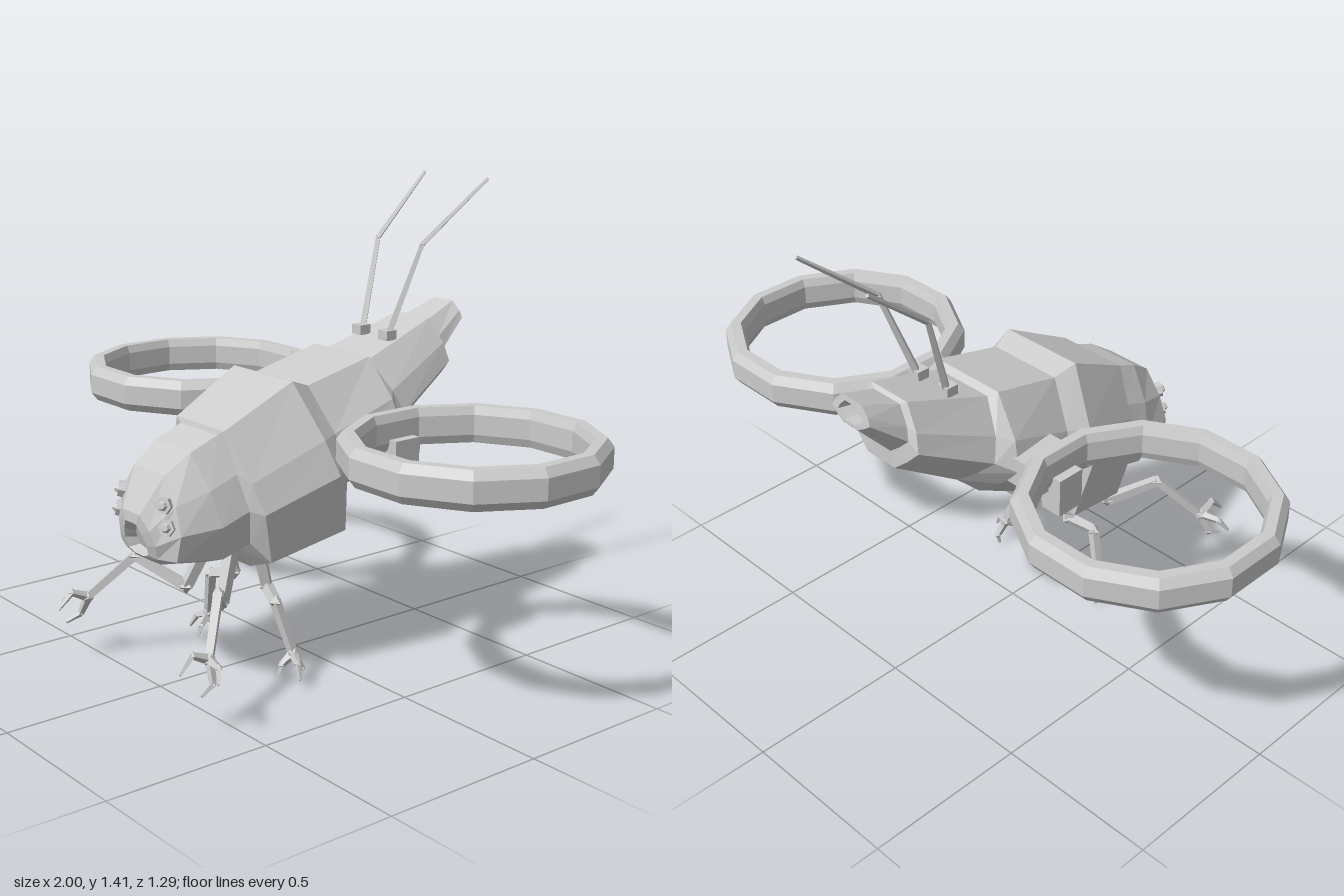
import * as THREE from 'three';

const V = (p) => new THREE.Vector3(...p);
const mat = new THREE.MeshStandardMaterial({ color: 0xcccccc, flatShading: true, side: THREE.DoubleSide });

function add(parent, name, geometry, pos = [0, 0, 0]) {
  const m = new THREE.Mesh(geometry, mat);
  m.name = name;
  m.position.set(...pos);
  parent.add(m);
  return m;
}

// Straight tapered rod between two points
function rod(parent, name, a, b, r1, r2, sides = 4) {
  const p = V(a), d = V(b).sub(p);
  const m = add(parent, name, new THREE.CylinderGeometry(r2, r1, d.length(), sides));
  m.position.copy(p).addScaledVector(d, 0.5);
  m.quaternion.setFromUnitVectors(new THREE.Vector3(0, 1, 0), d.normalize());
  return m;
}

// Chain of rods, tapering from r1 to r2
function chain(parent, name, pts, r1, r2) {
  const n = pts.length - 1;
  for (let i = 0; i < n; i++) {
    const r = (k) => r1 + (r2 - r1) * k / n;
    rod(parent, name, pts[i], pts[i + 1], r(i), r(i + 1));
    if (i) add(parent, name + 'Joint', new THREE.OctahedronGeometry(r(i) * 1.25), pts[i]);
  }
}

// Half outlines from top to bottom: [fraction of height, fraction of half width]
const HEAD = [[0, 0.47], [0.3, 0.82], [0.6, 1], [0.9, 0.88], [1, 0.4]];
const CHEST = [[0, 0.5], [0.33, 0.86], [0.54, 1], [0.9, 0.9], [1, 0.4]];
const REAR = [[0, 0.52], [0.35, 0.88], [0.62, 1], [0.82, 0.72], [1, 0.4]];

// Slanted body rings, front to back: z top, y top, z bottom, y bottom, half width, outline
const RINGS = [
  [0.555, 0.50, 0.53, 0.43, 0.04, HEAD],
  [0.587, 0.52, 0.56, 0.42, 0.055, HEAD],
  [0.585, 0.55, 0.55, 0.41, 0.09, HEAD],
  [0.52, 0.66, 0.53, 0.40, 0.16, HEAD],
  [0.44, 0.715, 0.385, 0.38, 0.19, HEAD],
  [0.35, 0.75, 0.29, 0.405, 0.19, HEAD],
  [0.345, 0.765, 0.24, 0.34, 0.23, CHEST],
  [0.12, 0.88, 0.00, 0.395, 0.277, CHEST],
  [0.05, 0.855, -0.04, 0.48, 0.235, REAR],
  [-0.18, 0.91, -0.23, 0.58, 0.24, REAR],
  [-0.20, 0.895, -0.30, 0.645, 0.195, REAR],
  [-0.47, 0.985, -0.51, 0.78, 0.14, REAR],
  [-0.48, 0.975, -0.51, 0.83, 0.105, REAR],
  [-0.60, 1.02, -0.61, 0.94, 0.078, REAR],
  [-0.602, 1.005, -0.61, 0.95, 0.052, REAR],
  [-0.565, 0.995, -0.57, 0.95, 0.045, REAR],
];

function bodyGeometry() {
  const rings = RINGS.map(([zt, yt, zb, yb, w, outline]) => {
    const side = outline.map(([t, f]) => [w * f, yt + (yb - yt) * t, zt + (zb - zt) * t]);
    return [...side, ...side.map(([x, y, z]) => [-x, y, z]).reverse()];
  });
  const n = rings[0].length, pos = rings.flat(2), idx = [];
  for (let r = 0; r < rings.length - 1; r++) {
    for (let i = 0; i < n; i++) {
      const a = r * n + i, b = r * n + (i + 1) % n;
      idx.push(a, b, a + n, b, b + n, a + n);
    }
  }
  // End caps
  const last = (rings.length - 1) * n;
  for (let i = 1; i < n - 1; i++) {
    idx.push(0, i + 1, i, last, last + i, last + i + 1);
  }
  const g = new THREE.BufferGeometry();
  g.setAttribute('position', new THREE.Float32BufferAttribute(pos, 3));
  g.setIndex(idx);
  g.computeVertexNormals();
  return g;
}

// Twelve-sided hoop with bevelled edges
function hoopGeometry() {
  const k = 1 / Math.cos(Math.PI / 12);
  const profile = [[0.305, -0.03], [0.315, -0.055], [0.345, -0.055], [0.363, -0.03], [0.363, 0.03],
    [0.345, 0.055], [0.315, 0.055], [0.305, 0.03], [0.305, -0.03]];
  const g = new THREE.LatheGeometry(profile.map(([r, y]) => new THREE.Vector2(r * k, y)), 12);
  return g.rotateY(Math.PI / 12);
}

const LEGS = {
  frontLeg: {
    path: [[0.05, 0.41, 0.27], [0.09, 0.25, 0.34], [0.21, 0.335, 0.44], [0.31, 0.2, 0.545]],
    toes: [[[0.31, 0.225, 0.6], [0.315, 0.18, 0.645]], [[0.375, 0.2, 0.56], [0.4, 0.165, 0.58]],
      [[0.34, 0.14, 0.555], [0.35, 0.12, 0.6]]],
  },
  rearLeg: {
    path: [[0.08, 0.38, 0.2], [0.08, 0.26, 0.17], [0.16, 0.24, 0.2], [0.21, 0.09, 0.175]],
    toes: [[[0.25, 0.075, 0.19], [0.275, 0.035, 0.2]], [[0.2, 0.06, 0.21], [0.2, 0.025, 0.225]],
      [[0.22, 0.04, 0.15], [0.22, 0.005, 0.157]]],
  },
};

export function createModel() {
  const model = new THREE.Group();
  model.name = 'insectCraft';
  add(model, 'body', bodyGeometry());

  for (const s of [1, -1]) {
    const side = s > 0 ? 'left' : 'right';
    const M = ([x, y, z]) => [s * x, y, z];
    const half = new THREE.Group();
    half.name = side + 'Side';
    model.add(half);

    // Hoop and its bracket
    add(half, side + 'Hoop', hoopGeometry(), M([0.637, 0.735, -0.112]));
    add(half, side + 'HoopArm', new THREE.BoxGeometry(0.12, 0.09, 0.16), M([0.255, 0.705, -0.135]));
    add(half, side + 'HoopBracket', new THREE.BoxGeometry(0.07, 0.12, 0.09), M([0.325, 0.655, -0.125]));

    // Antenna
    chain(half, side + 'Antenna', [[0.06, 0.95, -0.315], [0.1, 1.22, -0.41], [0.14, 1.405, -0.64]].map(M), 0.013, 0.006);
    add(half, side + 'AntennaBase', new THREE.BoxGeometry(0.04, 0.03, 0.04), M([0.06, 0.95, -0.31]));

    // Legs with three bent toes
    for (const [name, { path, toes }] of Object.entries(LEGS)) {
      const leg = new THREE.Group();
      leg.name = side + name[0].toUpperCase() + name.slice(1);
      half.add(leg);
      chain(leg, 'legSegment', path.map(M), 0.023, 0.015);
      const foot = path[path.length - 1];
      add(leg, 'ankle', new THREE.IcosahedronGeometry(0.02), M(foot));
      for (const toe of toes) chain(leg, 'toe', [foot, ...toe].map(M), 0.015, 0.005);
    }

    // Pairs of six-sided eyes, each with a raised lens
    for (const [x, y, z] of [[0.106, 0.585, 0.545], [0.12, 0.525, 0.545]]) {
      const out = [0.55, 0.2, 0.8];
      const at = (d) => M([x + out[0] * d, y + out[1] * d, z + out[2] * d]);
      rod(half, side + 'EyeRim', at(-0.02), at(0.01), 0.026, 0.024, 6);
      rod(half, side + 'EyeLens', at(0.008), at(0.02), 0.016, 0.009, 6);
    }
  }
  return model;
}
